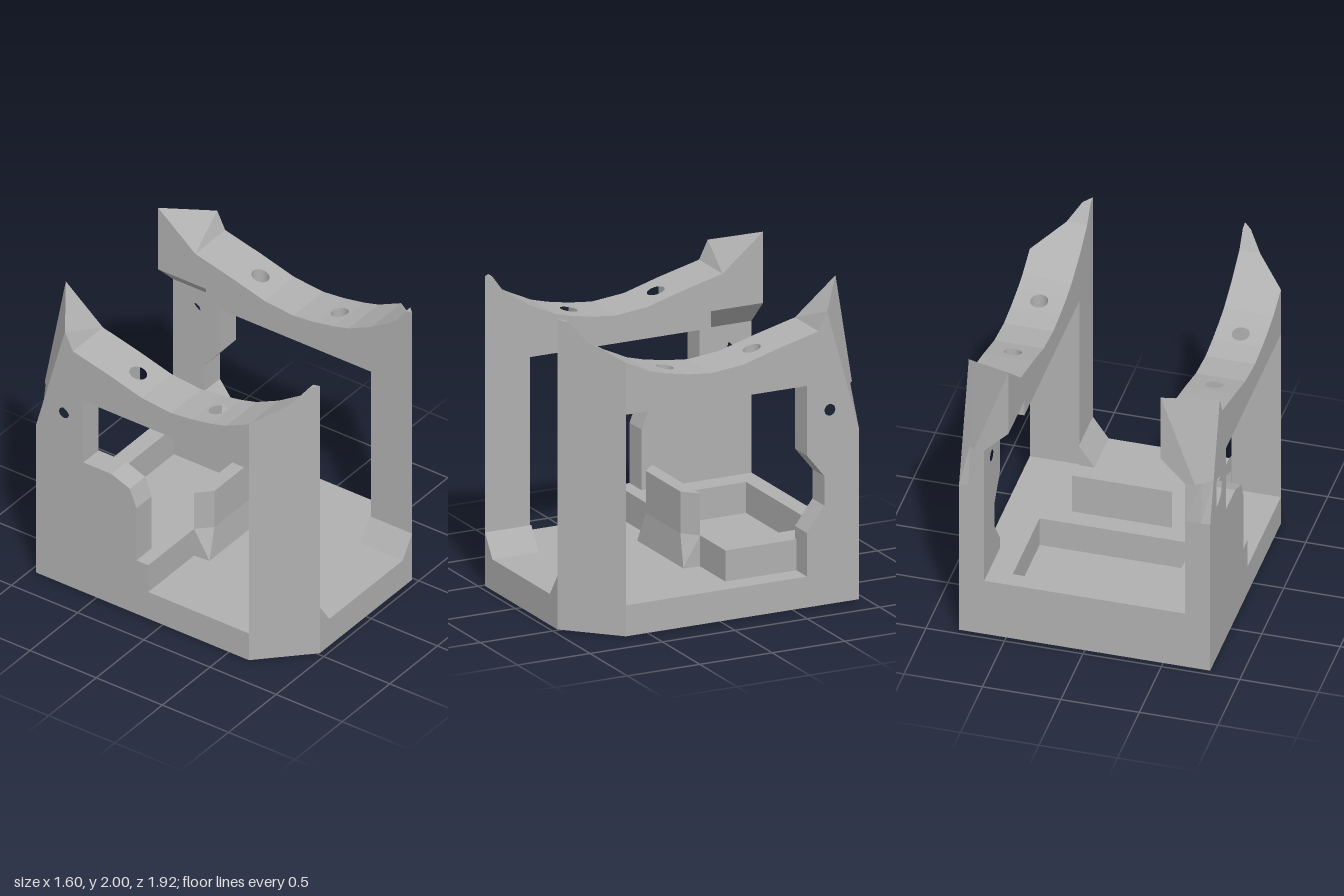
import * as THREE from 'three';
import { ConvexGeometry } from 'three/addons/geometries/ConvexGeometry.js';

const IN = 0.485, OUT = 0.8, POST = 0.64, FLOOR = 0.2, BACK = -0.96;

// closed outline with optional round holes [a, b, radius]
function outline(pts, holes = []) {
  const s = new THREE.Shape(pts.map(([a, b]) => new THREE.Vector2(a, b)));
  for (const [a, b, r] of holes) {
    const p = new THREE.Path();
    p.absarc(a, b, r, 0, Math.PI * 2, true);
    s.holes.push(p);
  }
  return s;
}

const solid = (shape, depth) =>
  new THREE.ExtrudeGeometry(shape, { depth, bevelEnabled: false, curveSegments: 32 });

// plan outline in (x, z), raised from y0 to y1
function slab(pts, y0, y1, holes = []) {
  const flip = (p) => [p[0], -p[1], p[2]];
  return solid(outline(pts.map(flip), holes.map(flip)), y1 - y0)
    .rotateX(-Math.PI / 2).translate(0, y0, 0);
}

// side outline in (z, y), running from x0 to x1
function sideways(pts, x0, x1, holes = []) {
  const flip = (p) => [-p[0], p[1], p[2]];
  return solid(outline(pts.map(flip), holes.map(flip)), Math.abs(x1 - x0))
    .rotateY(Math.PI / 2).translate(Math.min(x0, x1), 0, 0);
}

// convex block around points, mirrored by s
const hull = (pts, s = 1) =>
  new ConvexGeometry(pts.map(([x, y, z]) => new THREE.Vector3(x * s, y, z)));

// move every vertex by a rule and refresh the flat normals
function reshape(geo, rule) {
  const p = geo.attributes.position, v = new THREE.Vector3();
  for (let i = 0; i < p.count; i++) {
    rule(v.fromBufferAttribute(p, i));
    p.setXYZ(i, v.x, v.y, v.z);
  }
  geo.computeVertexNormals();
  return geo;
}

// saddle profile along the top of each side wall: [z, y]
const SADDLE = [
  [0.96, 2.0], [0.91, 1.99], [0.83, 1.88], [0.65, 1.765], [0.48, 1.685], [0.37, 1.655],
  [0.22, 1.627], [0.06, 1.61], [-0.16, 1.632], [-0.4, 1.7], [-0.6, 1.75], [-0.68, 1.77],
];

export function createModel() {
  const group = new THREE.Group();
  const grey = new THREE.MeshStandardMaterial({ color: 0xb0b0b0 });
  grey.name = 'grey';
  const add = (name, geo) => {
    const m = new THREE.Mesh(geo, grey);
    m.name = name;
    group.add(m);
  };

  // base plate with a blind round recess underneath
  const plan = [[-OUT, BACK], [OUT, BACK], [OUT, 0.65], [IN, 0.96], [-IN, 0.96], [-OUT, 0.65]];
  add('baseLower', slab(plan, 0, 0.13, [[0, 0, 0.35]]));
  add('baseUpper', slab(plan, 0.13, FLOOR));

  // rear tray: a rectangular rim
  const rim = outline([[-0.8, 0.11], [0.66, 0.11], [0.66, 0.6], [POST, 0.6], [POST, 0.96], [-0.8, 0.96]]);
  rim.holes.push(new THREE.Path([[-0.49, 0.235], [-0.49, 0.845], [0.49, 0.845], [0.49, 0.235]]
    .map(([a, b]) => new THREE.Vector2(a, b))));
  add('tray', solid(rim, 0.2).rotateX(-Math.PI / 2).translate(0, FLOOR, 0));

  // upright plate in front of the tray, flared at its foot
  const both = (pts) => pts.flatMap(([x, y, z]) => [[x, y, z], [-x, y, z]]);
  const upper = [[0.32, 0.4, -0.11], [0.23, 0.4, -0.02]];
  add('stopPlate', hull(both([...upper, [0.32, 0.67, -0.11], [0.23, 0.67, -0.02]])));
  add('stopPlateFoot', hull(both([...upper, [0.32, FLOOR, -0.11], [0.31, FLOOR, 0]])));

  // tab filling the lower rear corner of one window
  add('windowTab', sideways([[-0.2, 0.4], [-0.2, 0.79], [-0.25, 0.915], [-0.39, 0.97],
    [-0.6, 0.97], [-0.6, 0.4]], -OUT, -POST));

  for (const s of [1, -1]) {
    // front post and arch, one strip for each segment of the saddle
    for (let i = 0; i < 10; i++) {
      const [za, ya] = SADDLE[i], [zb, yb] = SADDLE[i + 1];
      const edge = (z) => Math.min(OUT, OUT - (z - 0.65) * 1.015);
      const strip = [[IN, za], [edge(za), za], [edge(zb), zb], [IN, zb]];
      if (i === 0) strip.splice(1, 1);
      const hole = [0.3, -0.3].filter((z) => z < za && z > zb).map((z) => [s * 0.642, z, 0.055]);
      const geo = slab(strip.map(([x, z]) => [x * s, z]), i < 3 ? FLOOR : 1.43, 2, hole);
      add(i < 3 ? 'frontPost' : 'arch', reshape(geo, (v) => {
        if (v.y > 1.99) v.y = ya + (yb - ya) * (v.z - za) / (zb - za);
      }));
    }

    // gusset at the foot of the front post
    add('gusset', hull([0.64, 0.96].flatMap((z) =>
      [[IN, FLOOR, z], [0.385, FLOOR, z], [IN, 0.345, z]]), s));

    // rear post: notched on one side, counterbored hole, slanted outer corner
    const notch = s > 0 ? [[-0.6, 0.48], [-0.72, 0.64], [-0.72, 0.83], [-0.6, 0.98]] : [];
    const post = [[BACK, FLOOR], [-0.6, FLOOR], ...notch, [-0.6, 1.38], [BACK, 1.38], [BACK, 1.1]];
    const slant = (v) => {
      const z = BACK + 0.8085 * (Math.abs(v.x) - OUT) + 0.2785 * (v.y - 1.1);
      if (v.y > 1.1) v.z = Math.max(v.z, z);
    };
    add('rearPostInner', reshape(sideways(post, s * POST, s * 0.74, [[-0.79, 1.23, 0.037]]), slant));
    add('rearPostOuter', reshape(sideways(post, s * 0.74, s * OUT, [[-0.79, 1.23, 0.096]]), slant));

    // rear shoulder joining post and arch, with a slanted underside
    const section = (z, y) => [[IN, 1.54, z], [POST, 1.38, z], [OUT, 1.38, z], [OUT, y, z], [IN, y, z]];
    add('rearShoulder', hull([...section(-0.6, 1.75), ...section(-0.68, 1.77)], s));

    // pointed horn on the rear corner
    add('rearHorn', hull([...section(-0.68, 1.77), [OUT, 1.89, -0.74], [IN, 2, BACK],
      [IN, 1.54, BACK], [POST, 1.38, BACK], [0.704, 1.38, BACK], [OUT, 1.38, -0.882]], s));
  }
  return group;
}
